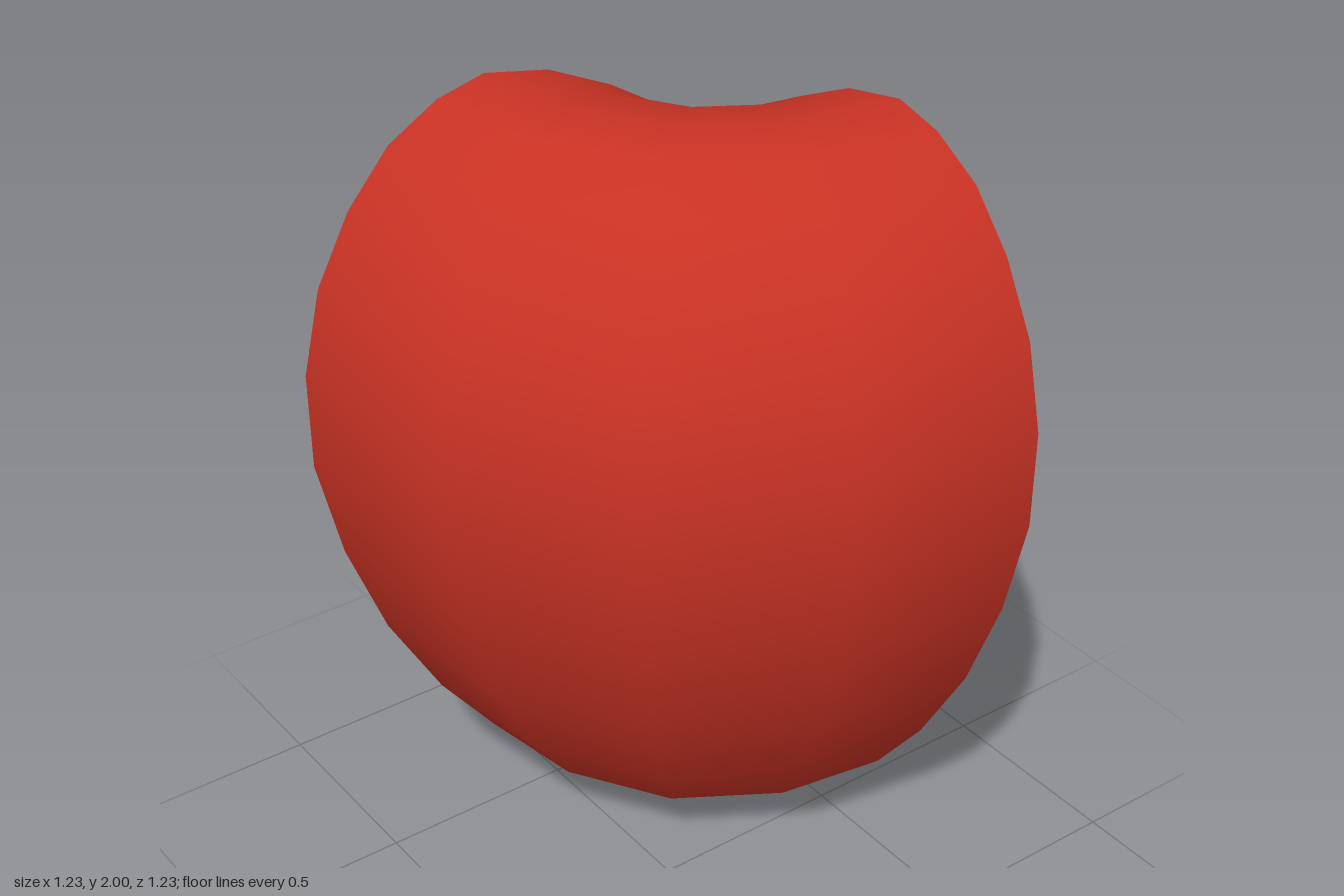
import * as THREE from 'three';

const material = (color) => new THREE.MeshStandardMaterial({ color });

function addMesh(parent, name, geometry, mat) {
  const mesh = new THREE.Mesh(geometry, mat);
  mesh.name = name;
  parent.add(mesh);
  return mesh;
}

// Half outline of the fruit: radius, height, from base dimple to stem hollow
const profile = [
  [0, 0.09], [0.08, 0.085], [0.19, 0.025], [0.3, 0], [0.425, 0.025], [0.555, 0.08],
  [0.705, 0.2], [0.855, 0.395], [0.995, 0.64], [1.095, 0.9], [1.155, 1.16],
  [1.155, 1.4], [1.105, 1.605], [1.015, 1.77], [0.905, 1.895], [0.775, 1.97],
  [0.65, 2], [0.48, 1.965], [0.31, 1.885], [0.15, 1.775], [0.06, 1.722], [0, 1.71],
].map(([r, y]) => new THREE.Vector2(r, y));
const WIDEST = 11;

// Quarter turn of skin, slightly fuller in the middle of the wedge
function skinGeometry() {
  const geo = new THREE.LatheGeometry(profile, 4, 0, Math.PI / 2);
  const pos = geo.attributes.position;
  for (let i = 0; i < pos.count; i++) {
    const x = pos.getX(i), z = pos.getZ(i);
    const k = 1 + 0.03 * Math.sin(2 * Math.atan2(x, z)) ** 2;
    pos.setXYZ(i, x * k, pos.getY(i), z * k);
  }
  return geo;
}

// Flat piece of a cut face; side 1 lies along +x, side -1 along +z
function cutGeometry(points, side) {
  const shape = new THREE.Shape(points.map((p) => new THREE.Vector2(-side * p.x, p.y)));
  return new THREE.ShapeGeometry(shape).rotateY(side > 0 ? Math.PI : -Math.PI / 2);
}

// Middle of both cut faces, softly shaded across the core edge
function coreGeometry() {
  const bottom = profile[0], top = profile[profile.length - 1], wide = profile[WIDEST];
  const geo = new THREE.BufferGeometry();
  geo.setAttribute('position', new THREE.Float32BufferAttribute([
    0, top.y, 0, 0, bottom.y, 0, wide.x, wide.y, 0, 0, wide.y, wide.x,
  ], 3));
  geo.setIndex([0, 2, 1, 0, 1, 3]);
  geo.computeVertexNormals();
  return geo;
}

// Teardrop pip, narrower towards its lower end
function seedGeometry() {
  const geo = new THREE.SphereGeometry(1, 20, 16);
  const pos = geo.attributes.position;
  for (let i = 0; i < pos.count; i++) {
    const y = pos.getY(i), k = 0.97 + 0.3 * y;
    pos.setXYZ(i, pos.getX(i) * 0.06 * k, y * 0.135, pos.getZ(i) * 0.072 * k);
  }
  geo.computeVertexNormals();
  return geo;
}

export function createModel() {
  const model = new THREE.Group();
  model.name = 'fruitQuarter';
  const wedge = new THREE.Group();
  wedge.name = 'wedge';
  wedge.position.set(-0.545, 0, -0.545);
  model.add(wedge);

  const red = material(0xc83224);
  red.side = THREE.DoubleSide;
  const flesh = material(0xcfc5a6);
  const dark = material(0x17120e);

  addMesh(wedge, 'skin', skinGeometry(), red);
  addMesh(wedge, 'core', coreGeometry(), flesh);

  const lower = profile.slice(0, WIDEST + 1);
  const upper = profile.slice(WIDEST);
  for (const side of [1, -1]) {
    const label = side > 0 ? 'back' : 'right';
    addMesh(wedge, label + 'LowerFlesh', cutGeometry(lower, side), flesh);
    addMesh(wedge, label + 'UpperFlesh', cutGeometry(upper, side), flesh);

    // Pip half sunk in the cut face, leaning in towards the core
    const holder = new THREE.Group();
    holder.name = label + 'SeedHolder';
    holder.rotation.y = side > 0 ? 0 : -Math.PI / 2;
    const seed = addMesh(holder, label + 'Seed', seedGeometry(), dark);
    seed.position.set(0.285, 0.97, 0);
    seed.rotation.z = -0.2;
    wedge.add(holder);
  }
  return model;
}
